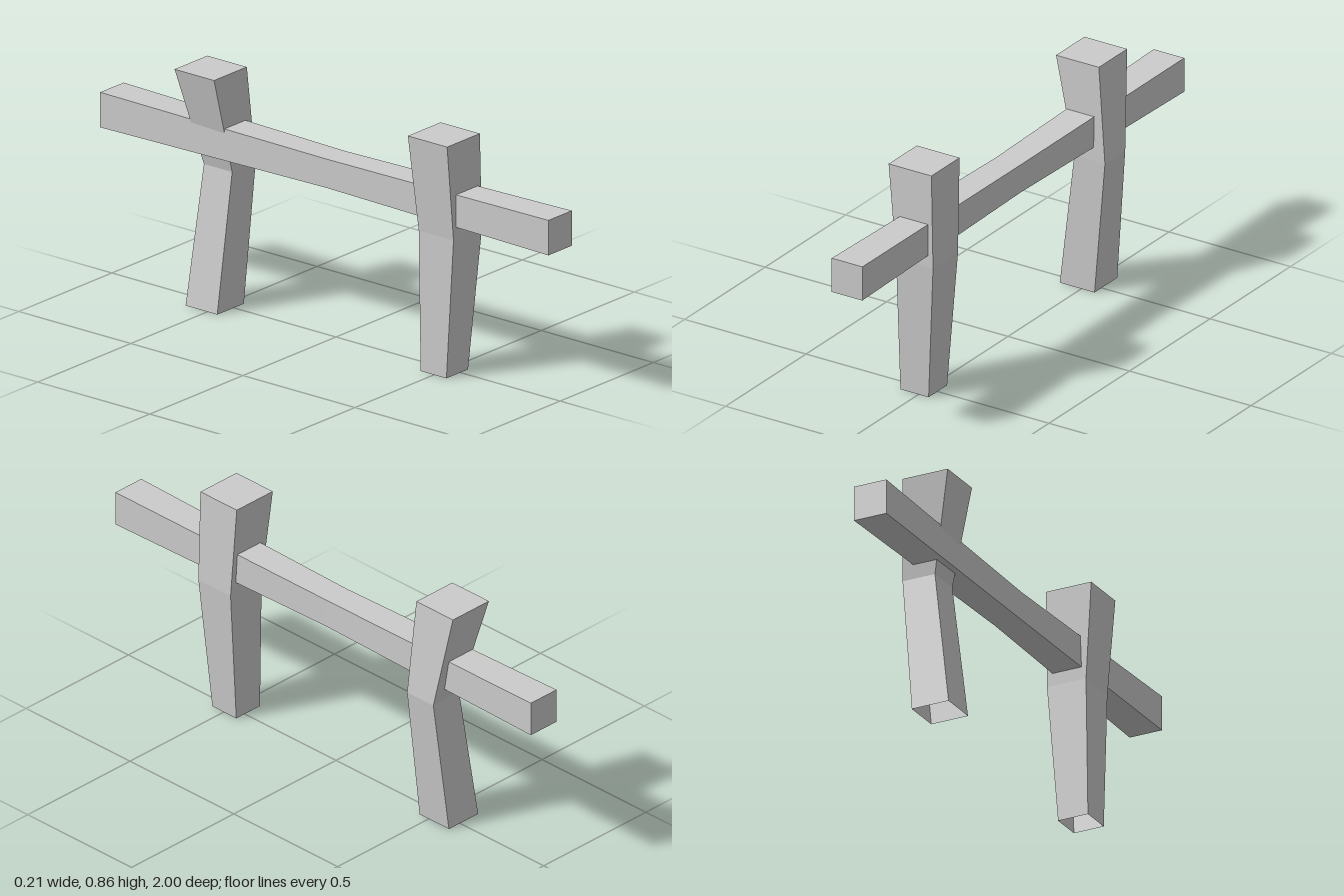
import * as THREE from 'three';

const material = new THREE.MeshStandardMaterial({
  color: 0xcccccc, flatShading: true, side: THREE.DoubleSide,
});

// Flat-faced skin over four-cornered rings; the start may stay open
function loft(name, rings, capStart) {
  const pos = [];
  const quad = (a, b, c, d) => pos.push(...a, ...b, ...c, ...a, ...c, ...d);
  for (let r = 0; r < rings.length - 1; r++) {
    const a = rings[r], b = rings[r + 1];
    for (let i = 0; i < 4; i++) {
      const j = (i + 1) % 4;
      quad(a[i], a[j], b[j], b[i]);
    }
  }
  quad(...rings[rings.length - 1]);
  if (capStart) quad(...[...rings[0]].reverse());
  const geo = new THREE.BufferGeometry();
  geo.setAttribute('position', new THREE.Float32BufferAttribute(pos, 3));
  geo.computeVertexNormals();
  const mesh = new THREE.Mesh(geo, material);
  mesh.name = name;
  return mesh;
}

// Horizontal ring for a post
const level = ([y, x0, x1, z0, z1]) =>
  [[x0, y, z1], [x1, y, z1], [x1, y, z0], [x0, y, z0]];

// Upright ring for the rail
const slice = ([z, x0, x1, y0, y1]) =>
  [[x0, y0, z], [x1, y0, z], [x1, y1, z], [x0, y1, z]];

export function createModel() {
  const group = new THREE.Group();
  group.name = 'fence';

  // Crooked posts, open underneath: y, x range, z range
  group.add(loft('frontPost', [
    [0, -0.075, 0.041, 0.44, 0.555],
    [0.51, -0.073, 0.079, 0.43, 0.585],
    [0.86, -0.105, 0.071, 0.408, 0.583],
  ].map(level), false));
  group.add(loft('backPost', [
    [0, -0.089, 0.054, -0.597, -0.456],
    [0.505, -0.022, 0.104, -0.571, -0.445],
    [0.86, -0.105, 0.071, -0.633, -0.457],
  ].map(level), false));

  // Rail, slimmer at its middle: z, x range, y range
  group.add(loft('rail', [
    [-1, -0.063, 0.063, 0.55, 0.678],
    [0, -0.052, 0.051, 0.56, 0.665],
    [1, -0.063, 0.063, 0.55, 0.678],
  ].map(slice), true));

  return group;
}
